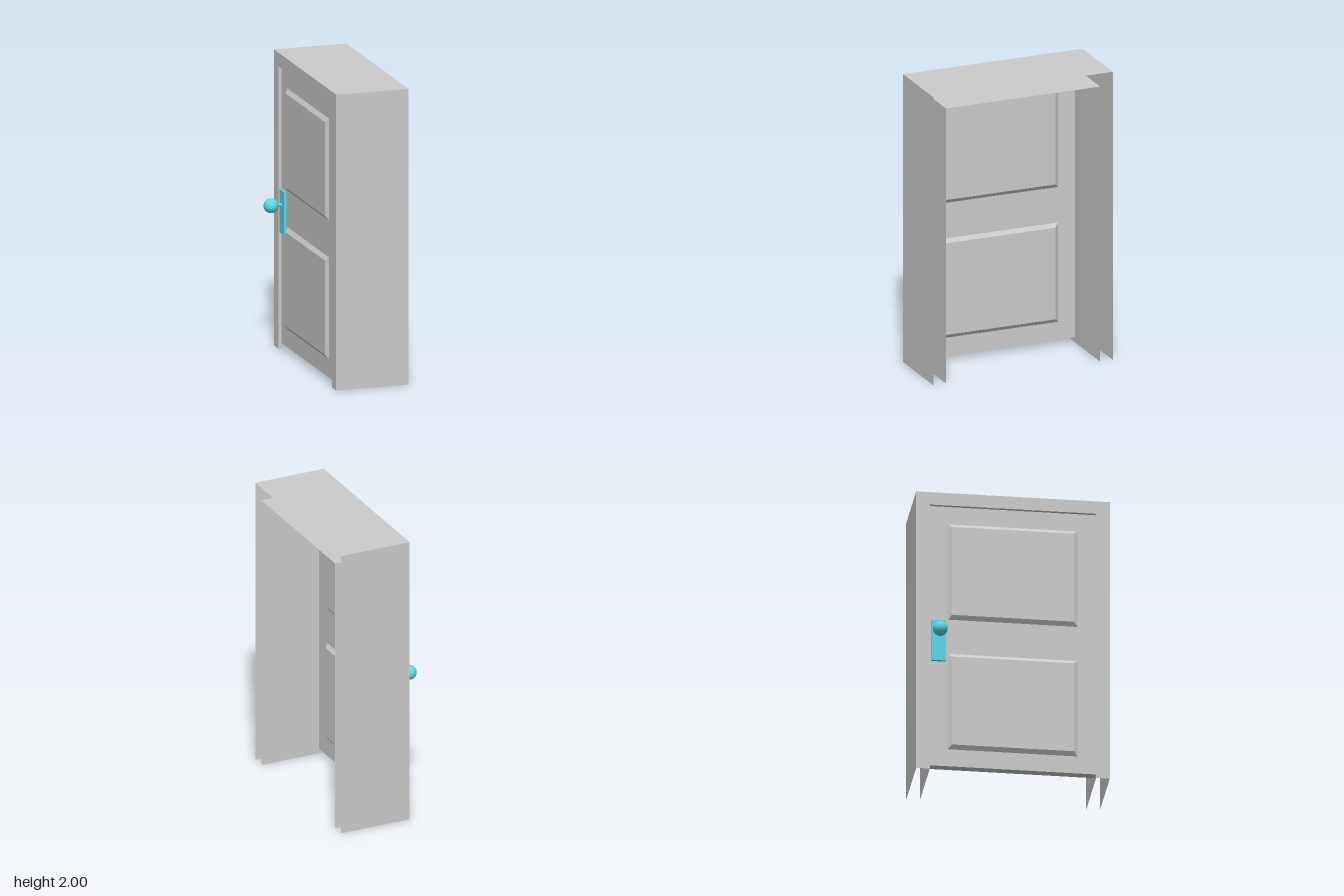
import * as THREE from 'three';

const grey = new THREE.MeshStandardMaterial({ color: 0xcccccc, side: THREE.DoubleSide });
const cyan = new THREE.MeshStandardMaterial({ color: 0x5ad8e6 });

// Frame and door dimensions
const BACK = -0.19, FRONT = 0.31, DEPTH = FRONT - BACK, MID = (FRONT + BACK) / 2;
const OUTER = { half: 0.64, top: 2 }, INNER = { half: 0.55, top: 1.91 };
const DOOR_BACK = -0.168, DOOR_FRONT = -0.11, DOOR_BOTTOM = 0.035;

function add(parent, name, geometry, material, x = 0, y = 0, z = 0) {
  const mesh = new THREE.Mesh(geometry, material);
  mesh.name = name;
  mesh.position.set(x, y, z);
  parent.add(mesh);
  return mesh;
}

// Two thin side walls and a thin top, open at the front and the bottom
function addLining(parent, name, { half, top }, outward) {
  for (const side of [1, -1]) {
    const wall = new THREE.PlaneGeometry(DEPTH, top);
    if (side * outward < 0) wall.rotateY(Math.PI);
    add(parent, name + 'Side', wall, grey, MID, top / 2, side * half);
  }
  const cover = new THREE.PlaneGeometry(DEPTH, half * 2).rotateX(-outward * Math.PI / 2);
  add(parent, name + 'Top', cover, grey, MID, top, 0);
}

// Raised panel: a box whose outer face is drawn in to make sloping edges
function raisedPanel(height, width, depth, bevel, direction) {
  const geometry = new THREE.BoxGeometry(depth, height, width);
  const p = geometry.attributes.position;
  for (let i = 0; i < p.count; i++) {
    if (p.getX(i) * direction > 0) {
      p.setY(i, p.getY(i) - Math.sign(p.getY(i)) * bevel);
      p.setZ(i, p.getZ(i) - Math.sign(p.getZ(i)) * bevel);
    }
  }
  const flat = geometry.toNonIndexed();
  flat.computeVertexNormals();
  return flat;
}

export function createModel() {
  const model = new THREE.Group();
  model.name = 'doorway';

  // Hollow door frame
  const frame = new THREE.Group();
  frame.name = 'frame';
  model.add(frame);
  addLining(frame, 'outerFrame', OUTER, 1);
  addLining(frame, 'innerFrame', INNER, -1);

  // Flat U-shaped trim closing the frame on the knob side
  const trim = new THREE.Shape([
    [-OUTER.half, 0], [-INNER.half, 0], [-INNER.half, INNER.top], [INNER.half, INNER.top],
    [INNER.half, 0], [OUTER.half, 0], [OUTER.half, OUTER.top], [-OUTER.half, OUTER.top],
  ].map(([x, y]) => new THREE.Vector2(x, y)));
  add(frame, 'frameTrim', new THREE.ShapeGeometry(trim).rotateY(-Math.PI / 2), grey, BACK);

  // Door leaf with two raised panels on each face
  const door = new THREE.Group();
  door.name = 'door';
  model.add(door);
  const doorHeight = INNER.top - DOOR_BOTTOM;
  add(door, 'doorLeaf', new THREE.BoxGeometry(DOOR_FRONT - DOOR_BACK, doorHeight, INNER.half * 2), grey,
    (DOOR_FRONT + DOOR_BACK) / 2, DOOR_BOTTOM + doorHeight / 2, 0);
  const raise = 0.02;
  for (const [faceX, direction] of [[DOOR_FRONT, 1], [DOOR_BACK, -1]]) {
    for (const y of [1.44, 0.503]) {
      add(door, 'doorPanel', raisedPanel(0.69, 0.86, raise, 0.027, direction), grey,
        faceX + direction * raise / 2, y, 0);
    }
  }

  // Knob on its stem and back plate
  const handle = new THREE.Group();
  handle.name = 'handle';
  handle.position.set(0, 0.985, -0.49);
  model.add(handle);
  add(handle, 'backPlate', new THREE.BoxGeometry(0.018, 0.29, 0.093), cyan, DOOR_BACK - 0.009, -0.05, 0);
  add(handle, 'stem', new THREE.CylinderGeometry(0.012, 0.012, 0.08, 20).rotateZ(Math.PI / 2), cyan, -0.21);
  add(handle, 'knob', new THREE.SphereGeometry(0.049, 32, 20), cyan, -0.261);

  return model;
}
